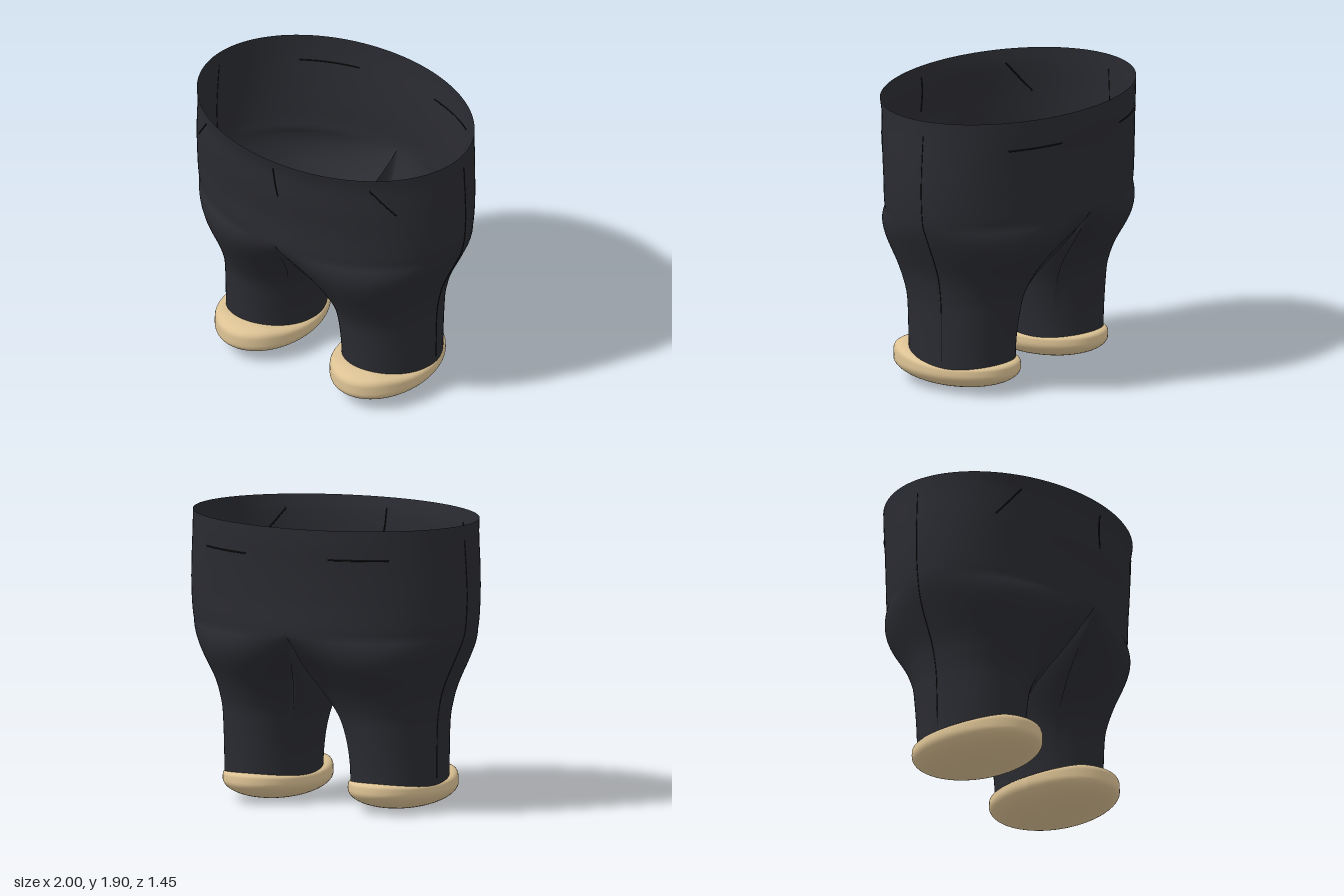
import * as THREE from 'three';

const fabric = new THREE.MeshStandardMaterial({ color: 0x2a2b31, side: THREE.DoubleSide });
const thread = new THREE.MeshStandardMaterial({ color: 0x111114 });
const tan = new THREE.MeshStandardMaterial({ color: 0xdcc294 });

// Silhouette by height: y, inner x, outer x, front z, back z
const PROFILE = [
  [0.10, 0.157, 0.77, 0.385, 0.35], [0.30, 0.155, 0.77, 0.39, 0.355],
  [0.55, 0.135, 0.775, 0.405, 0.38], [0.65, 0.115, 0.785, 0.43, 0.40],
  [0.80, 0.07, 0.82, 0.50, 0.47], [1.00, 0.01, 0.91, 0.61, 0.61],
  [1.10, 0, 0.955, 0.65, 0.66], [1.20, 0, 0.985, 0.665, 0.685],
  [1.40, 0, 1.0, 0.667, 0.688], [1.60, 0, 0.995, 0.687, 0.70],
  [1.80, 0, 0.983, 0.70, 0.72], [1.90, 0, 0.98, 0.725, 0.725],
];

// Smooth (cubic) lookup in the profile
function profile(y) {
  const P = PROFILE, n = P.length;
  let k = 0;
  while (k < n - 2 && y > P[k + 1][0]) k++;
  const a = P[k], b = P[k + 1], h = b[0] - a[0];
  const t = THREE.MathUtils.clamp((y - a[0]) / h, 0, 1);
  const slope = (i, c) => {
    const p = P[Math.max(i - 1, 0)], q = P[Math.min(i + 1, n - 1)];
    return (q[c] - p[c]) / (q[0] - p[0]);
  };
  return [1, 2, 3, 4].map(c =>
    a[c] * (1 + 2 * t) * (1 - t) ** 2 + slope(k, c) * h * t * (1 - t) ** 2 +
    b[c] * t * t * (3 - 2 * t) + slope(k + 1, c) * h * t * t * (t - 1));
}

const WAIST = 1.9, FORK = 1.18, SPLIT = 140; // SPLIT: angle where the inseam panel begins
const cuffY = z => 0.19 + 0.25 * (z + 0.1) ** 2;

// Point on the left half of the trousers; s: 0 cuff, 1 fork, 2 waist
function surface(deg, s) {
  const th = THREE.MathUtils.degToRad(deg);
  const inner = deg > SPLIT;
  const q = inner ? 1 - 2 * (deg - SPLIT) / (360 - 2 * SPLIT) : Math.sign(deg);
  const y0 = cuffY(0.37 * Math.sin(th)) - 0.05;
  const top = FORK - (inner ? 0.2 * (1 - q * q) : 0);
  const y = s <= 1 ? y0 + (top - y0) * s : FORK + (WAIST - FORK) * (s - 1);
  const [xi, xo, zf, zb] = profile(y);
  const depth = v => v * (v > 0 ? zf : zb);
  // leg ellipse
  const ex = (xi + xo) / 2 + (xo - xi) / 2 * Math.cos(th), ez = depth(Math.sin(th));
  // hip half-ellipse, or the fork line under it
  const ph = th * 90 / SPLIT;
  const hx = inner ? 0 : Math.max(0, xo * Math.cos(ph));
  const [, , ff, fb] = profile(FORK);
  const hz = inner ? THREE.MathUtils.lerp(-fb, ff, (q + 1) / 2) : depth(Math.sin(ph));
  const w = Math.min(s, 1) ** 3;
  return new THREE.Vector3(
    THREE.MathUtils.lerp(ex, hx, w), y,
    THREE.MathUtils.lerp(ez, hz, w) * (1 + 0.22 * w * (1 - w)));
}

// Half of the trousers: closed rings up the leg, open half rings up the hips
function halfGeometry() {
  const OUT = 56, ALL = 80, LEG = 40, HIP = 24;
  const pos = [], idx = [];
  const id = (r, i) => r <= LEG ? r * ALL + i % ALL : (LEG + 1) * ALL + (r - LEG - 1) * (OUT + 1) + i;
  for (let r = 0; r <= LEG + HIP; r++) {
    const s = r <= LEG ? r / LEG : 1 + (r - LEG) / HIP;
    const last = r <= LEG ? ALL - 1 : OUT;
    for (let i = 0; i <= last; i++) {
      const deg = i <= OUT ? -SPLIT + 2 * SPLIT * i / OUT
        : SPLIT + (360 - 2 * SPLIT) * (i - OUT) / (ALL - OUT);
      pos.push(...surface(deg, s).toArray());
    }
  }
  for (let r = 0; r < LEG + HIP; r++)
    for (let i = 0; i < (r < LEG ? ALL : OUT); i++) {
      const a = id(r, i), b = id(r, i + 1), c = id(r + 1, i), d = id(r + 1, i + 1);
      idx.push(a, c, b, b, c, d);
    }
  const g = new THREE.BufferGeometry();
  g.setAttribute('position', new THREE.Float32BufferAttribute(pos, 3));
  g.setIndex(idx);
  g.computeVertexNormals();
  // blend the two halves across the centre line
  const n = g.attributes.normal;
  for (let r = LEG + 1; r <= LEG + HIP; r++)
    for (const i of [0, OUT]) {
      const v = new THREE.Vector3().fromBufferAttribute(n, id(r, i)).setX(0).normalize();
      n.setXYZ(id(r, i), v.x, v.y, v.z);
    }
  return g;
}

// Flattened slipper foot: elliptical sole, fuller top that meets the cuff
function footGeometry() {
  const g = new THREE.SphereGeometry(1, 56, 40);
  const p = g.attributes.position;
  for (let i = 0; i < p.count; i++) {
    const x = p.getX(i), y = p.getY(i), z = p.getZ(i) * 0.46 + 0.06;
    const r = Math.min(1, Math.hypot(x, p.getZ(i)));
    const rise = Math.min(cuffY(z), 0.25) + 0.01 - 0.14;
    const ny = y > 0 ? 0.14 + rise * (1 - r ** 5) ** 0.2 : 0.14 + 0.14 * y;
    p.setXYZ(i, 0.46 + x * 0.325, ny, z);
  }
  g.computeVertexNormals();
  return g;
}

// Stitch line through points lying on the cloth
function stitch(name, points, radius = 0.005) {
  const curve = new THREE.CatmullRomCurve3(points);
  const m = new THREE.Mesh(new THREE.TubeGeometry(curve, 40, radius, 6), thread);
  m.name = name;
  return m;
}

// Points on the hips along a straight line in x and y
function hipLine(x0, y0, x1, y1, front) {
  return Array.from({ length: 9 }, (_, i) => {
    const x = THREE.MathUtils.lerp(x0, x1, i / 8), y = THREE.MathUtils.lerp(y0, y1, i / 8);
    const [, xo, zf, zb] = profile(y);
    const k = Math.sqrt(1 - (x / xo) ** 2);
    return new THREE.Vector3(x, y, front ? zf * k : -zb * k);
  });
}

export function createModel() {
  const model = new THREE.Group();
  model.name = 'trousersWithFeet';
  const half = halfGeometry(), foot = footGeometry();

  for (const side of [1, -1]) {
    const g = new THREE.Group();
    g.name = side > 0 ? 'leftHalf' : 'rightHalf';
    g.scale.x = side;
    const leg = new THREE.Mesh(half, fabric);
    leg.name = 'trouserHalf';
    const slipper = new THREE.Mesh(foot, tan);
    slipper.name = 'foot';
    const seam = Array.from({ length: 24 }, (_, i) => surface(-8, 0.08 + 1.78 * i / 23));
    g.add(leg, slipper,
      stitch('sideSeam', seam, 0.003),
      stitch('frontPocket', hipLine(0.65, 1.81, 0.79, 1.61, true)),
      stitch('backPocket', hipLine(0.3, 1.705, 0.67, 1.705, false)));
    model.add(g);
  }

  // Fly stitching
  const fly = hipLine(0.008, 1.83, 0.035, 1.61, true);
  fly.forEach((p, i) => { p.x = 0.008 + 0.027 * (i / 8) ** 2; });
  model.add(stitch('fly', fly));
  return model;
}
